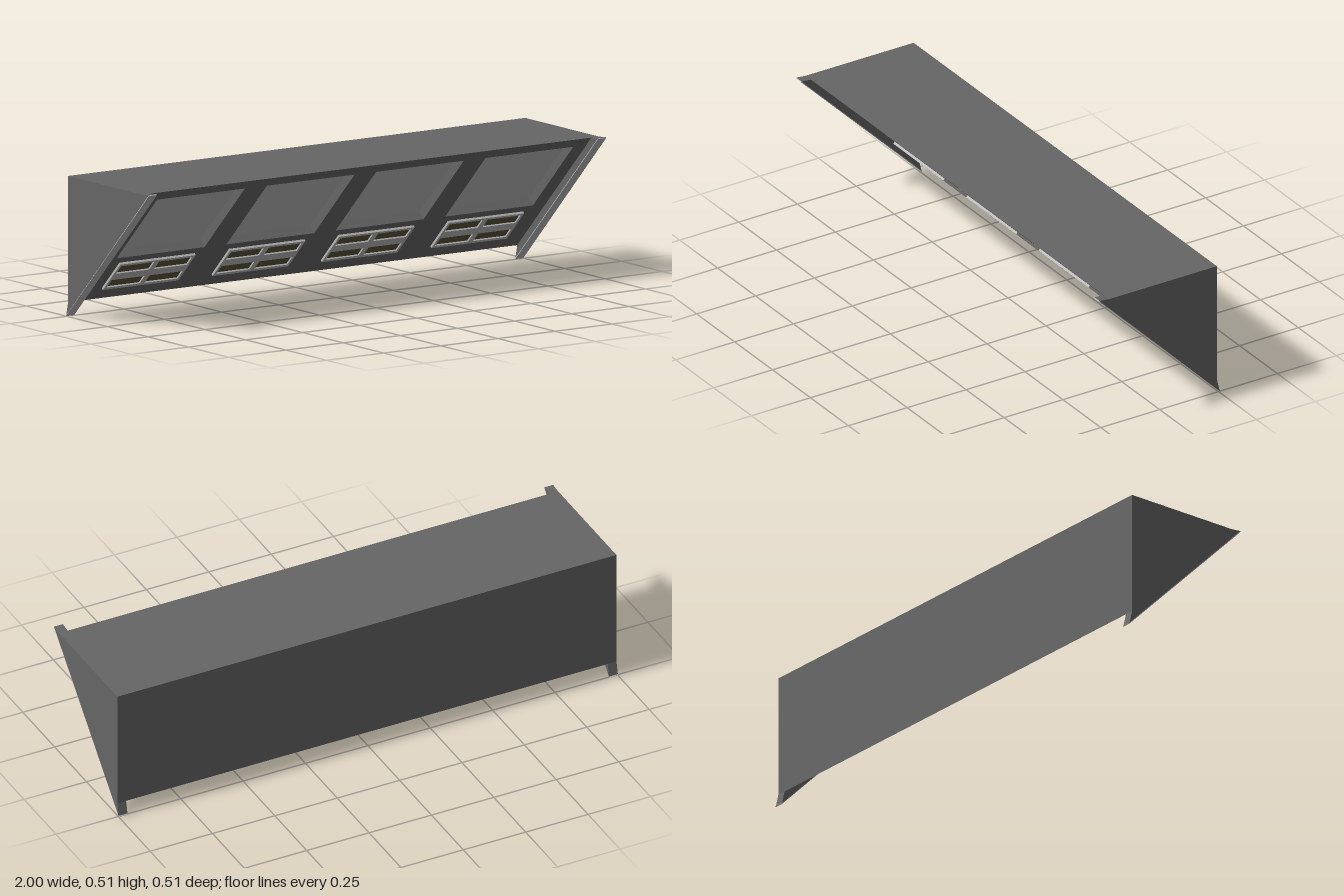
import * as THREE from 'three';

export function createModel() {
  const model = new THREE.Group();
  const housing = new THREE.MeshStandardMaterial({ color: 0x666666, side: THREE.DoubleSide });
  housing.name = 'housing grey';
  const light = new THREE.MeshStandardMaterial({ color: 0xb8b8b8 });
  light.name = 'light grey';
  const olive = new THREE.MeshStandardMaterial({ color: 0x56543a });
  olive.name = 'dark olive';

  const add = (parent, name, geometry, material) => {
    const mesh = new THREE.Mesh(geometry, material);
    mesh.name = name;
    parent.add(mesh);
    return mesh;
  };
  const rectPoints = (x0, y0, x1, y1) => [[x0, y0], [x1, y0], [x1, y1], [x0, y1]].map(p => new THREE.Vector2(...p));

  // Flat four-cornered face, corners counter-clockwise from its front
  const quad = (a, b, c, d) => {
    const g = new THREE.BufferGeometry();
    g.setAttribute('position', new THREE.Float32BufferAttribute([...a, ...b, ...c, ...a, ...c, ...d], 3));
    g.computeVertexNormals();
    return g;
  };

  const W = 0.965, TOP = 0.512, LOW = 0.054, BACK = -0.243, FRONT = 0.215;
  const centres = [-0.72, -0.24, 0.238, 0.717];
  const along = (y) => (y - LOW) * Math.SQRT2; // height to distance up the slope

  // Top and back of the housing
  add(model, 'topPanel', quad([-W, TOP, FRONT], [W, TOP, FRONT], [W, TOP, BACK], [-W, TOP, BACK]), housing);
  add(model, 'backPanel', quad([W, LOW, BACK], [-W, LOW, BACK], [-W, TOP, BACK], [W, TOP, BACK]), housing);

  // Sloping face with four openings
  const slope = new THREE.Group();
  slope.name = 'slopingFace';
  slope.position.set(0, LOW, BACK);
  slope.rotation.x = Math.PI / 4;
  model.add(slope);
  const face = new THREE.Shape(rectPoints(-W, 0, W, along(TOP)));
  const half = 0.192, low = along(0.23), high = along(0.48), depth = 0.035;
  centres.forEach(c => face.holes.push(new THREE.Path(rectPoints(c - half, low, c + half, high))));
  add(slope, 'facePanel', new THREE.ShapeGeometry(face), housing);

  // Shallow recess in each opening with a light screen at its bottom
  centres.forEach(c => {
    const corners = rectPoints(c - half, low, c + half, high);
    corners.forEach((p, i) => {
      const q = corners[(i + 1) % 4];
      add(slope, 'recessWall', quad([p.x, p.y, 0], [q.x, q.y, 0], [q.x, q.y, -depth], [p.x, p.y, -depth]), housing);
    });
    const screen = add(slope, 'screen', new THREE.PlaneGeometry(2 * half, high - low), light);
    screen.position.set(c, (low + high) / 2, -depth);
  });

  // Vent grilles: light frame with four slots over an olive plate
  const grille = new THREE.Shape(rectPoints(-0.165, along(0.1), 0.165, along(0.208)));
  for (const x of [-0.155, 0.011])
    for (const y of [0.109, 0.168])
      grille.holes.push(new THREE.Path(rectPoints(x, along(y), x + 0.144, along(y + 0.032))));
  const grilleGeo = new THREE.ExtrudeGeometry(grille, { depth: 0.009, bevelEnabled: false });
  const plateGeo = new THREE.BoxGeometry(0.32, 0.145, 0.004);
  centres.forEach(c => {
    add(slope, 'ventFrame', grilleGeo, light).position.x = c;
    add(slope, 'ventSlots', plateGeo, olive).position.set(c, along(0.154), 0.001);
  });

  // End plates with projecting tips, and a light strip down each sloping edge
  const profile = new THREE.Shape([[0.255, 0.002], [-BACK, LOW], [-BACK, TOP], [-FRONT, TOP], [-0.255, 0.516]]
    .map(p => new THREE.Vector2(...p)));
  const endGeo = new THREE.ExtrudeGeometry(profile, { depth: 0.035, bevelEnabled: false });
  endGeo.rotateY(Math.PI / 2);
  for (const side of [-1, 1]) {
    add(model, 'endPlate', endGeo, housing).position.x = side > 0 ? W : -1;
    const strip = add(model, 'edgeStrip', new THREE.BoxGeometry(0.035, 0.724, 0.003), light);
    strip.position.set(side * 0.9825, 0.2585, 0);
    strip.rotation.x = Math.PI / 4;
  }
  return model;
}
